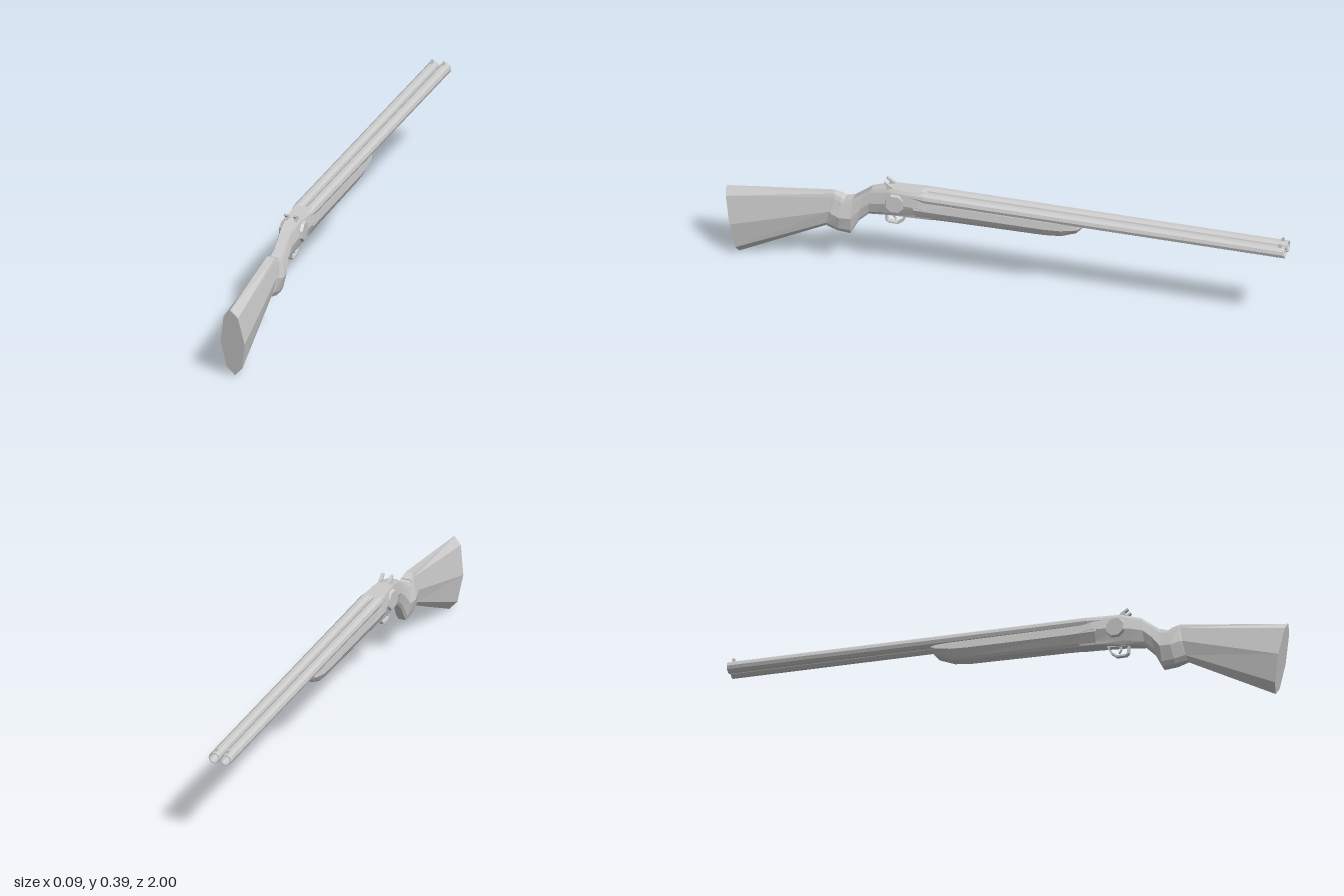
import * as THREE from 'three';

const grey = new THREE.MeshStandardMaterial({ color: 0xcccccc, flatShading: true, side: THREE.DoubleSide });

function add(parent, name, geometry) {
  const mesh = new THREE.Mesh(geometry, grey);
  mesh.name = name;
  parent.add(mesh);
  return mesh;
}

// Lofts rings running from +z to -z. Each section is
// [top z, top y, bottom z, bottom y, half width, flat share of top, flat share of bottom].
function loft(sections) {
  const pos = [], idx = [], n = 10;
  for (const [zt, yt, zb, yb, w, top, bottom] of sections) {
    const half = [[top, 0], [Math.max(0.6, top + 0.15), 0.1], [1, 0.5], [0.66, 0.88], [bottom, 1]];
    const ring = [...half.map(([s, t]) => [-s, t]), ...half.slice().reverse()];
    for (const [s, t] of ring) pos.push(s * w, yt + (yb - yt) * t, zt + (zb - zt) * t);
  }
  for (let i = 0; i < sections.length - 1; i++) {
    for (let j = 0; j < n; j++) {
      const a = i * n + j, b = i * n + (j + 1) % n;
      idx.push(a, a + n, b + n, a, b + n, b);
    }
  }
  const last = (sections.length - 1) * n;
  for (let j = 1; j < n - 1; j++) idx.push(0, j, j + 1, last, last + j + 1, last + j);
  const g = new THREE.BufferGeometry();
  g.setAttribute('position', new THREE.Float32BufferAttribute(pos, 3));
  g.setIndex(idx);
  g.computeVertexNormals();
  return g;
}

// Extrudes a side outline of [z, y] points across x, centred on x.
function sidePlate(outline, x, width, hole) {
  const points = list => list.map(([z, y]) => new THREE.Vector2(-z, y));
  const shape = new THREE.Shape(points(outline));
  if (hole) shape.holes.push(new THREE.Path(points(hole)));
  const g = new THREE.ExtrudeGeometry(shape, { depth: width, bevelEnabled: false });
  return g.translate(0, 0, -width / 2).rotateY(Math.PI / 2).translate(x, 0, 0);
}

export function createModel() {
  const gun = new THREE.Group();
  gun.name = 'doubleBarrelShotgun';

  // Shoulder stock, pistol grip and receiver
  add(gun, 'stock', loft([
    [1.0, 0.26, 0.955, 0.0, 0.044, 0.05, 0.0],
    [0.615, 0.302, 0.64, 0.165, 0.027, 0.5, 0.2],
    [0.585, 0.292, 0.62, 0.16, 0.034, 0.5, 0.3],
  ]));
  add(gun, 'grip', loft([
    [0.605, 0.298, 0.64, 0.165, 0.032, 0.5, 0.3],
    [0.575, 0.285, 0.6, 0.155, 0.038, 0.45, 0.4],
    [0.545, 0.293, 0.553, 0.15, 0.034, 0.5, 0.4],
    [0.51, 0.32, 0.525, 0.205, 0.028, 0.55, 0.4],
    [0.48, 0.343, 0.49, 0.24, 0.027, 0.6, 0.4],
  ]));
  add(gun, 'receiver', loft([
    [0.48, 0.343, 0.49, 0.24, 0.027, 0.6, 0.4],
    [0.41, 0.363, 0.42, 0.251, 0.035, 0.65, 0.5],
    [0.3, 0.364, 0.32, 0.26, 0.043, 0.7, 0.6],
    [0.26, 0.345, 0.26, 0.262, 0.043, 0.7, 0.6],
  ]));

  // Fore-end under the barrels
  add(gun, 'foreEnd', loft([
    [0.33, 0.345, 0.315, 0.26, 0.044, 0.7, 0.5],
    [0.2, 0.34, 0.2, 0.263, 0.042, 0.75, 0.5],
    [-0.14, 0.338, -0.14, 0.268, 0.041, 0.75, 0.5],
    [-0.2, 0.338, -0.2, 0.274, 0.04, 0.75, 0.5],
    [-0.26, 0.338, -0.255, 0.295, 0.036, 0.75, 0.5],
    [-0.28, 0.336, -0.28, 0.325, 0.028, 0.75, 0.5],
  ]));

  // Hollow barrel profile, turned so it points to -z
  const profile = [[0, -0.38], [0.008, -0.38], [0.0205, -0.29], [0.0205, 1], [0.017, 1], [0.017, 0.7], [0, 0.7]]
    .map(([r, d]) => new THREE.Vector2(r, d));

  for (const side of [1, -1]) {
    const label = side > 0 ? 'left' : 'right';
    const barrel = add(gun, label + 'Barrel', new THREE.LatheGeometry(profile, 10, Math.PI / 10));
    barrel.rotation.x = -Math.PI / 2;
    barrel.position.set(side * 0.0215, 0.3465, 0);

    // Bead sight at the muzzle
    add(gun, label + 'Sight', sidePlate(
      [[-0.972, 0.362], [-0.988, 0.362], [-0.985, 0.379], [-0.976, 0.379]], side * 0.0215, 0.006));

    // Hammer spur
    add(gun, label + 'Hammer', sidePlate(
      [[0.425, 0.353], [0.395, 0.353], [0.405, 0.37], [0.43, 0.386], [0.418, 0.387], [0.402, 0.373], [0.39, 0.355]]
        .slice(0, 4).concat([[0.433, 0.38], [0.421, 0.37]]), side * 0.017, 0.011));

    // Octagonal lock plate on the receiver side
    const plate = new THREE.CylinderGeometry(0.034, 0.038, 0.01, 8).rotateY(Math.PI / 8).rotateZ(-side * Math.PI / 2);
    const lock = add(gun, label + 'LockPlate', plate);
    lock.position.set(side * 0.036, 0.312, 0.39);
    lock.rotation.y = side * 0.08;
  }

  // Trigger guard loop and trigger
  add(gun, 'triggerGuard', sidePlate(
    [[0.434, 0.255], [0.431, 0.222], [0.42, 0.213], [0.385, 0.213], [0.366, 0.228], [0.348, 0.262]], 0, 0.016,
    [[0.427, 0.25], [0.424, 0.225], [0.417, 0.219], [0.388, 0.219], [0.371, 0.232], [0.36, 0.252]]));
  add(gun, 'trigger', sidePlate(
    [[0.405, 0.256], [0.395, 0.256], [0.398, 0.238], [0.392, 0.228], [0.396, 0.227], [0.404, 0.238]], 0, 0.008));

  return gun;
}
